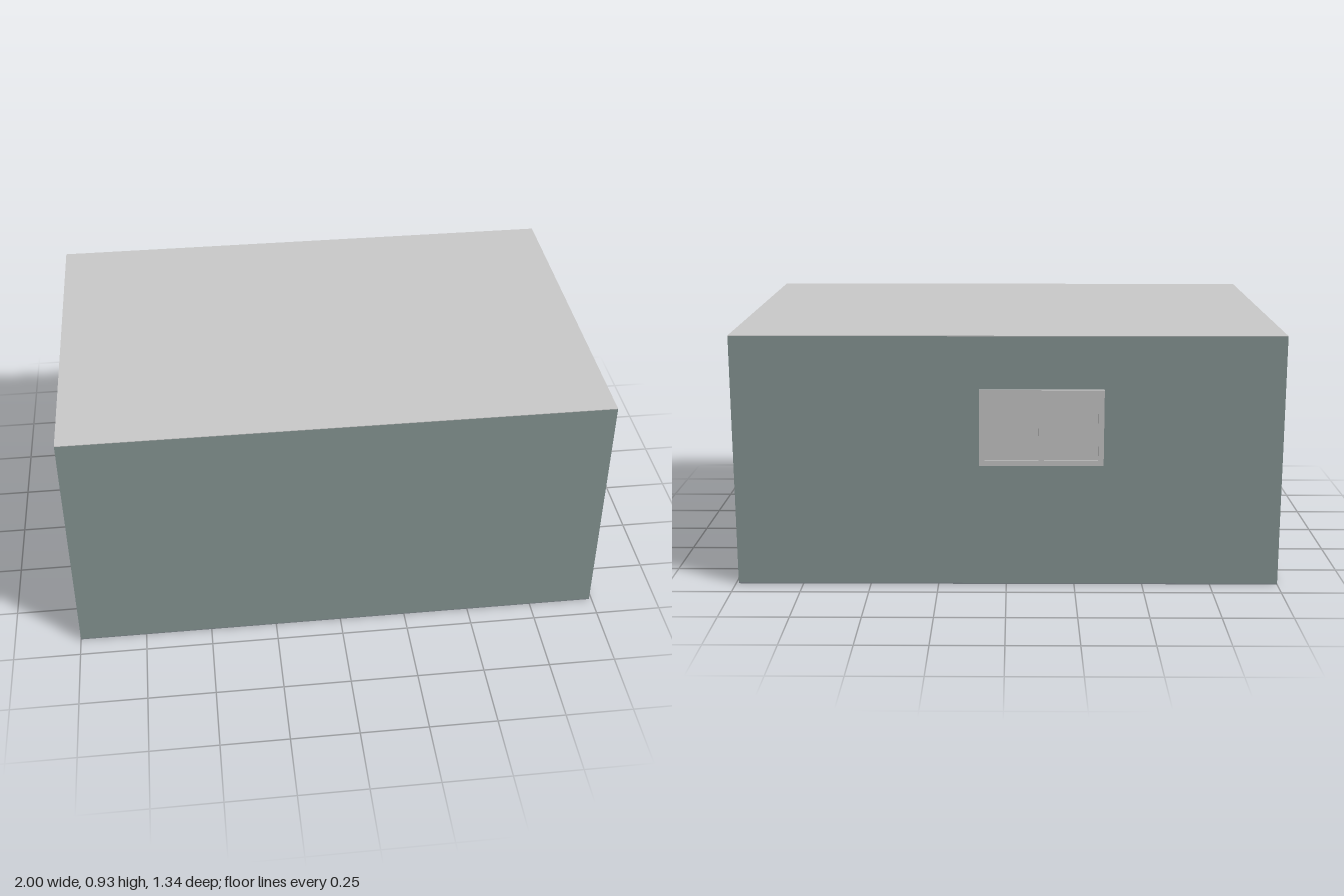
import * as THREE from 'three';

const grey = new THREE.MeshStandardMaterial({ color: 0xcccccc });
const paint = new THREE.MeshStandardMaterial({ color: 0x899997 });
const base = new THREE.MeshStandardMaterial({ color: 0x858e93 });

// Box given by its minimum and maximum corners
function box(name, material, min, max) {
  const size = max.map((v, i) => v - min[i]);
  const mesh = new THREE.Mesh(new THREE.BoxGeometry(...size), material);
  mesh.position.set(...max.map((v, i) => (v + min[i]) / 2));
  mesh.name = name;
  return mesh;
}

const X0 = -1, X1 = 0.99, Z0 = -0.661, Z1 = 0.671, H = 0.93;

// Rectangular walls, thin floor and thin roof
function createShell() {
  const shell = new THREE.Group();
  shell.name = 'shell';
  shell.add(
    box('floor', base, [X0, 0, Z0], [X1, 0.004, Z1]),
    box('walls', paint, [X0, 0.004, Z0], [X1, H - 0.002, Z1]),
    box('roof', grey, [X0, H - 0.002, Z0], [X1, H, Z1])
  );
  return shell;
}

// Door leaf set back inside a three-sided frame
function createDoor() {
  const door = new THREE.Group();
  door.name = 'door';
  const z0 = 0.256, z1 = 0.598, y0 = 0.045, y1 = 0.866, w = 0.019;
  door.add(
    box('doorLeaf', grey, [X1 - 0.01, y0, z0 + w], [X1 + 0.002, y1 - 0.01, z1 - w]),
    box('doorHead', grey, [X1 - 0.01, y1 - 0.01, z0], [1, y1, z1])
  );
  for (const z of [z0, z1 - w]) {
    door.add(box('doorJamb', grey, [X1 - 0.01, y0, z], [1, y1 - 0.01, z + w]));
  }
  return door;
}

// Two-pane window with frame and centre mullion
function createWindow() {
  const win = new THREE.Group();
  win.name = 'window';
  const x0 = -0.352, x1 = 0.098, y0 = 0.455, y1 = 0.735, w = 0.02;
  const mid = (x0 + x1) / 2, back = -0.672, inner = Z0 + 0.01;
  for (const y of [y0, y1 - w]) {
    win.add(box('windowRail', grey, [x0, y, back], [x1, y + w, inner]));
  }
  for (const x of [x0, mid - w / 2, x1 - w]) {
    win.add(box('windowStile', grey, [x, y0 + w, back], [x + w, y1 - w, inner]));
  }
  for (const [a, b] of [[x0 + w, mid - w / 2], [mid + w / 2, x1 - w]]) {
    win.add(box('windowPane', grey, [a, y0 + w, Z0 - 0.002], [b, y1 - w, inner]));
  }
  return win;
}

export function createModel() {
  const model = new THREE.Group();
  model.name = 'cabin';
  model.add(createShell(), createDoor(), createWindow());
  return model;
}
